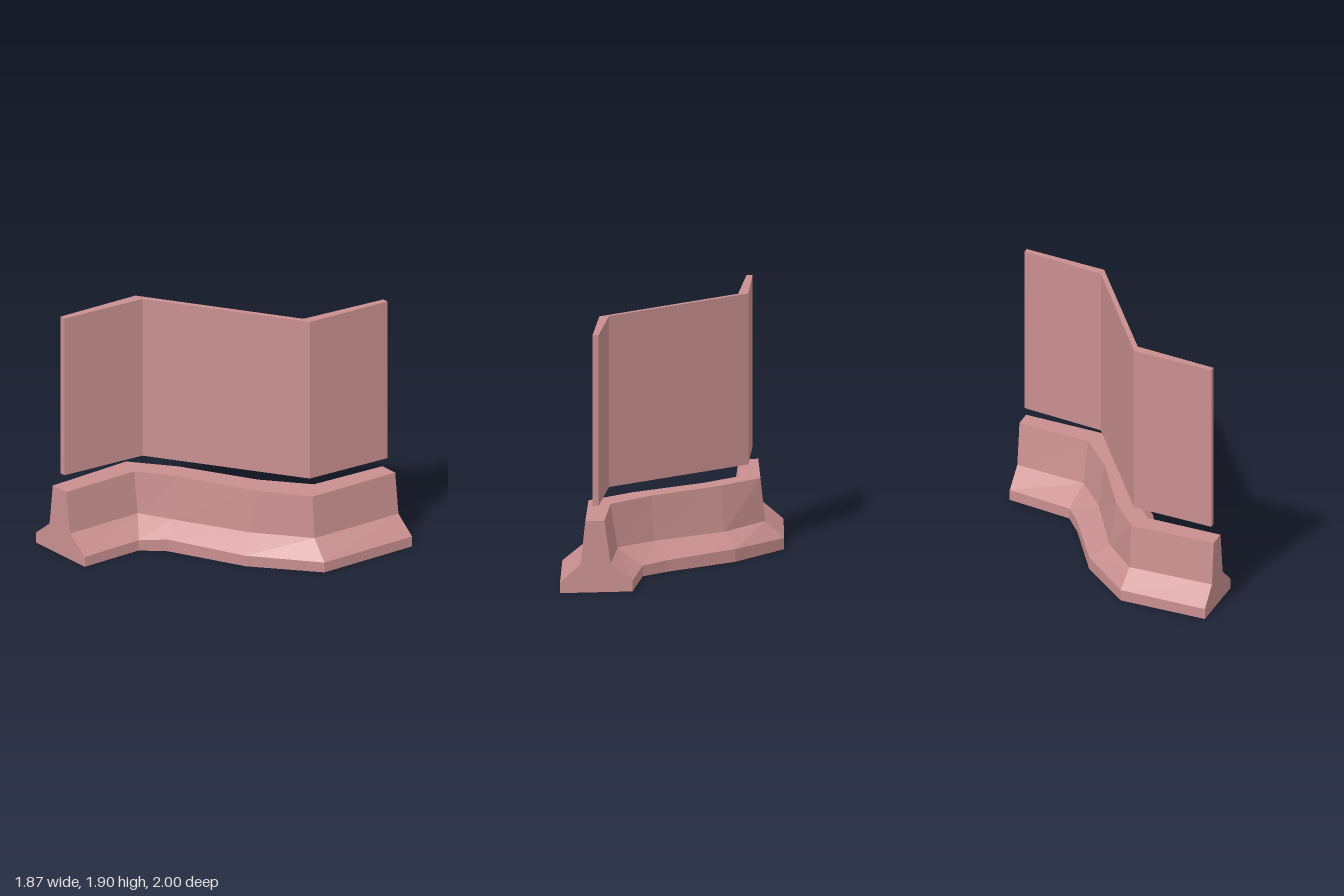
import * as THREE from 'three';

const material = new THREE.MeshStandardMaterial({ color: 0xc98f8f, flatShading: true });

// Skins a run of cross-sections (each counter-clockwise seen from +z) and caps both ends.
function loft(name, sections) {
  const n = sections[0].length;
  const positions = sections.flat(2);
  const index = [];
  for (let s = 0; s < sections.length - 1; s++) {
    for (let i = 0; i < n; i++) {
      const j = (i + 1) % n;
      const a = s * n + i, b = s * n + j, c = b + n, d = a + n;
      index.push(a, d, c, a, c, b);
    }
  }
  const outline = sections[0].map(([x, y]) => new THREE.Vector2(x, y));
  const last = (sections.length - 1) * n;
  for (const [a, b, c] of THREE.ShapeUtils.triangulateShape(outline, [])) {
    index.push(a, b, c, last + a, last + c, last + b);
  }
  const indexed = new THREE.BufferGeometry();
  indexed.setAttribute('position', new THREE.Float32BufferAttribute(positions, 3));
  indexed.setIndex(index);
  const geometry = indexed.toNonIndexed();
  geometry.computeVertexNormals();
  const mesh = new THREE.Mesh(geometry, material);
  mesh.name = name;
  return mesh;
}

// Stations along the bending barrier, front to back.
// l / r: [x, z] of the foot, the waist and the crown on each side; h: foot and waist heights.
const stations = [
  { l: [[-0.935, 1], [-0.785, 1], [-0.75, 1]], r: [[-0.4, 1], [-0.56, 1], [-0.605, 1]], h: [0.08, 0.21] },
  { l: [[-0.86, 0.32], [-0.725, 0.34], [-0.69, 0.34]], r: [[-0.34, 0.53], [-0.485, 0.41], [-0.53, 0.405]], h: [0.083, 0.21] },
  { l: [[-0.46, -0.07], [-0.4, 0.065], [-0.37, 0.105]], r: [[-0.19, 0.38], [-0.26, 0.27], [-0.26, 0.22]], h: [0.095, 0.197] },
  { l: [[0.08, -0.36], [0.15, -0.22], [0.17, -0.18]], r: [[0.37, 0.12], [0.285, 0], [0.29, -0.045]], h: [0.085, 0.204] },
  { l: [[0.265, -0.49], [0.445, -0.445], [0.495, -0.43]], r: [[0.825, -0.24], [0.675, -0.278], [0.64, -0.287]], h: [0.08, 0.21] },
  { l: [[0.4, -1], [0.56, -1], [0.605, -1]], r: [[0.93, -1], [0.78, -1], [0.745, -1]], h: [0.08, 0.21] },
];
const crown = 0.53;

// Folded panel floating above the barrier: left x, right x, z.
const panelStations = [
  [-0.705, -0.66, 0.965],
  [-0.6, -0.525, 0.33],
  [0.495, 0.565, -0.33],
  [0.645, 0.69, -0.975],
];
const panelBottom = 0.635, panelTop = 1.905;

export function createModel() {
  const group = new THREE.Group();
  group.name = 'barrierWithPanel';

  const at = ([x, z], y) => [x, y, z];
  group.add(loft('barrier', stations.map(({ l, r, h }) => [
    at(l[0], 0), at(r[0], 0),
    at(r[0], h[0]), at(r[1], h[1]), at(r[2], crown),
    at(l[2], crown), at(l[1], h[1]), at(l[0], h[0]),
  ])));

  group.add(loft('panel', panelStations.map(([xl, xr, z]) => [
    [xl, panelBottom, z], [xr, panelBottom, z], [xr, panelTop, z], [xl, panelTop, z],
  ])));

  return group;
}
